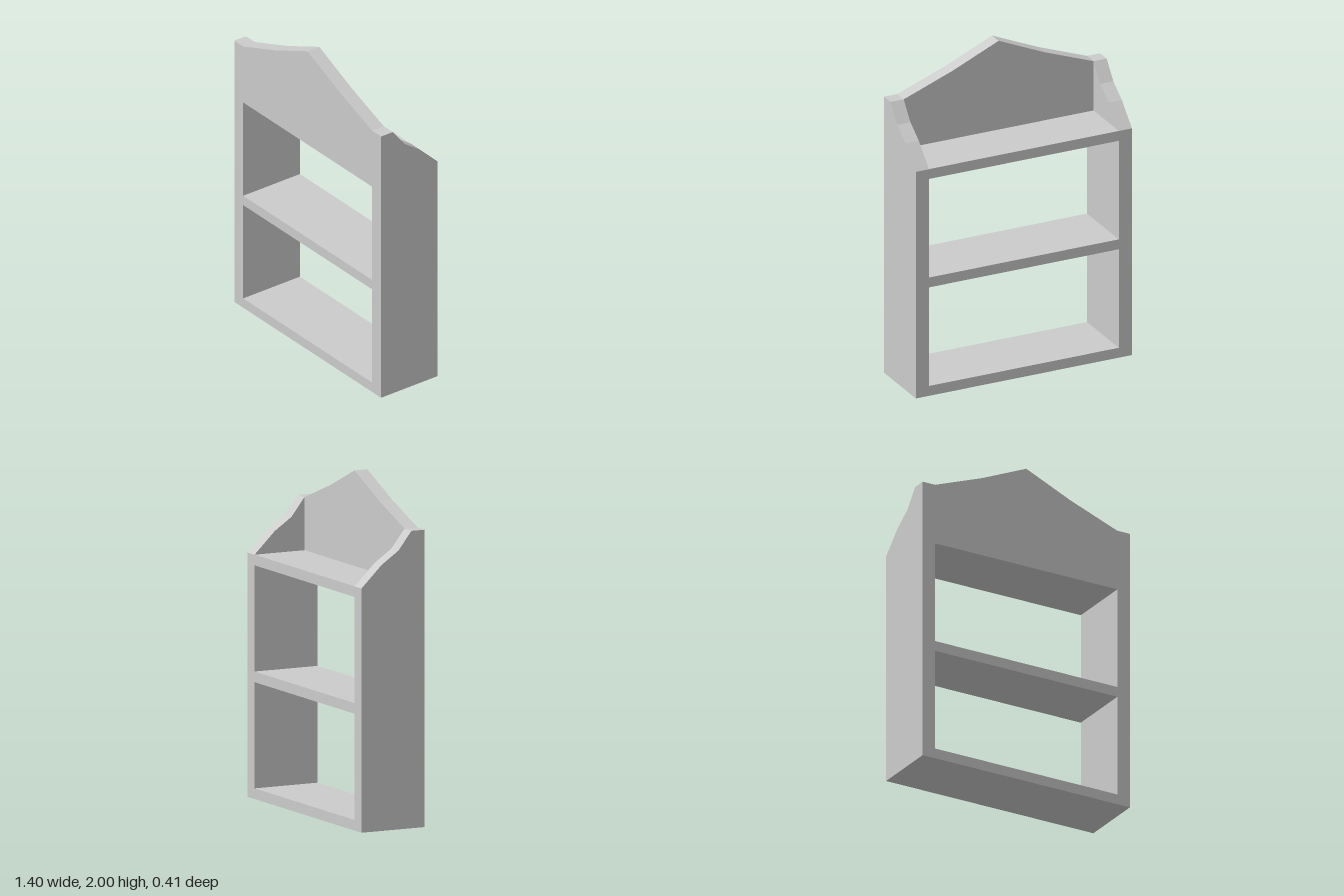
import * as THREE from 'three';

const W = 0.70, INNER = 0.615, D = 0.207, BOARD_BACK = 0.122;
const SHELF = 0.0625;

function extrude(points, depth) {
  const shape = new THREE.Shape(points.map(([x, y]) => new THREE.Vector2(x, y)));
  return new THREE.ExtrudeGeometry(shape, { depth, bevelEnabled: false });
}

export function createModel() {
  const group = new THREE.Group();
  const material = new THREE.MeshStandardMaterial({ color: 0xcccccc });
  const add = (name, geometry, x, y, z) => {
    const mesh = new THREE.Mesh(geometry, material);
    mesh.name = name;
    mesh.position.set(x, y, z);
    group.add(mesh);
  };

  // Side panels: profile drawn as (-z, y), then turned to run along x
  const profile = [
    [-D, 0], [D, 0], [D, 1.437], [0.075, 1.565],
    [-0.035, 1.64], [-BOARD_BACK, 1.75], [-D, 1.75],
  ];
  const side = extrude(profile, W - INNER).rotateY(Math.PI / 2);
  add('leftSidePanel', side, INNER, 0, 0);
  add('rightSidePanel', side, -W, 0, 0);

  // Three shelves spanning the full depth between the sides
  const shelf = new THREE.BoxGeometry(INNER * 2, SHELF, D * 2);
  [['bottomShelf', 0], ['middleShelf', 0.6875], ['topShelf', 1.375]].forEach(
    ([name, y]) => add(name, shelf, 0, y + SHELF / 2, 0));

  // Peaked board standing on the front of the top shelf
  const base = 1.375 + SHELF;
  const gable = [
    [-INNER, base], [INNER, base], [INNER, 1.75], [0.3, 1.868],
    [0, 2], [-0.3, 1.868], [-INNER, 1.75],
  ];
  add('peakedBoard', extrude(gable, D - BOARD_BACK), 0, 0, BOARD_BACK);

  return group;
}
